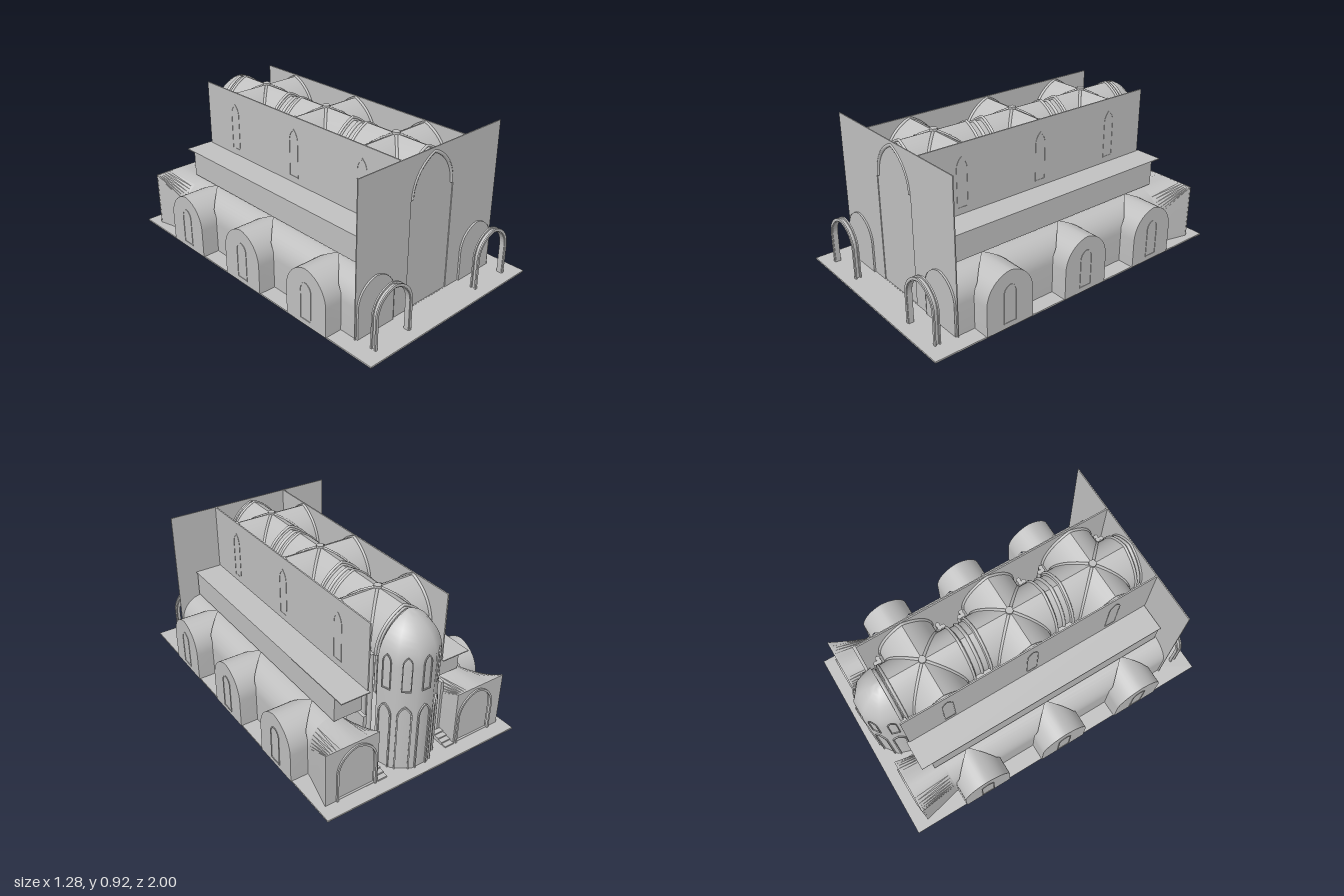
import * as THREE from 'three';
import { toCreasedNormals } from 'three/addons/utils/BufferGeometryUtils.js';

const stone = new THREE.MeshStandardMaterial({ color: 0xc0c0c0, side: THREE.DoubleSide });
stone.name = 'grey stone';
const FLOOR = 0.017;
const BAYS = [0.54, 0.01, -0.52];

function add(parent, name, geo, x = 0, y = 0, z = 0, ry = 0) {
  const m = new THREE.Mesh(geo, stone);
  m.name = name;
  m.position.set(x, y, z);
  m.rotation.y = ry;
  parent.add(m);
  return m;
}
function box(parent, name, x0, x1, y0, y1, z0, z1) {
  return add(parent, name, new THREE.BoxGeometry(x1 - x0, y1 - y0, z1 - z0), (x0 + x1) / 2, (y0 + y1) / 2, (z0 + z1) / 2);
}

// Two-centred pointed arch, left to right; with a base it also gets straight legs
function arch(hw, spring, apex, base = null, n = 10) {
  const h = apex - spring, o = Math.max(0, (h * h - hw * hw) / (2 * hw)), R = hw + o;
  const end = Math.acos(o / R), right = [];
  for (let i = 0; i <= n; i++) {
    const t = end * i / n;
    right.push(new THREE.Vector2(R * Math.cos(t) - o, spring + h * Math.sin(t) / Math.sin(end)));
  }
  const pts = right.map(p => new THREE.Vector2(-p.x, p.y)).concat(right.slice(0, n).reverse());
  if (base !== null) {
    pts.unshift(new THREE.Vector2(-hw, base));
    pts.push(new THREE.Vector2(hw, base));
  }
  return pts;
}

// Surface through a list of cross-sections with equal point counts
function loft(sections) {
  const n = sections[0].length, idx = [];
  for (let s = 0; s < sections.length - 1; s++)
    for (let i = 0; i < n - 1; i++) {
      const a = s * n + i, b = a + n;
      idx.push(a, b, a + 1, b, b + 1, a + 1);
    }
  const g = new THREE.BufferGeometry().setFromPoints(sections.flat());
  g.setIndex(idx);
  return toCreasedNormals(g, 0.5);
}
const at = (pts, z) => pts.map(p => new THREE.Vector3(p.x, p.y, z));
const barrel = (pts, z0, z1) => loft([at(pts, z1), at(pts, z0)]);
const cap = pts => new THREE.ShapeGeometry(new THREE.Shape(pts));
const plate = (pts, d = 0.006) => new THREE.ExtrudeGeometry(new THREE.Shape(pts), { depth: d, bevelEnabled: false });
// Arched frame: outer outline with a smaller arch cut out
function frame(outer, inner, d) {
  const s = new THREE.Shape(outer);
  s.holes.push(new THREE.Path(inner));
  return new THREE.ExtrudeGeometry(s, { depth: d, bevelEnabled: false });
}
function tube(pts, r, seg = 32) {
  return new THREE.TubeGeometry(new THREE.CatmullRomCurve3(pts), seg, r, 6);
}

function nave(root) {
  const p = arch(0.165, 0.67, 0.905);
  BAYS.forEach(c => {
    const bay = new THREE.Group();
    bay.name = 'naveBay';
    bay.position.z = c;
    // Four vault arms meeting along the diagonals
    for (let k = 0; k < 4; k++) {
      const len = k % 2 ? 0.238 : 0.218;
      const inner = p.map(q => new THREE.Vector3(q.x, q.y, Math.abs(q.x)));
      add(bay, 'vaultArm', loft([at(p, len), inner]), 0, 0, 0, k * Math.PI / 2);
      add(bay, 'wallRib', tube(at(p, len - 0.006), 0.008), 0, 0, 0, k * Math.PI / 2);
    }
    // Diagonal ribs and boss
    for (const s of [1, -1])
      add(bay, 'diagonalRib', tube(p.map(q => new THREE.Vector3(q.x, q.y, s * q.x)), 0.009));
    add(bay, 'boss', new THREE.CylinderGeometry(0.022, 0.022, 0.03, 8), 0, 0.903, 0);
    // Clustered piers
    for (const sx of [1, -1]) for (const sz of [1, -1]) {
      for (const [dx, dz] of [[0, 0], [0.022, 0], [0, -0.022]])
        add(bay, 'pierShaft', new THREE.CylinderGeometry(0.014, 0.014, 0.69, 8), sx * (0.19 + dx), 0.345, sz * (0.19 - dz));
    }
    root.add(bay);
  });
  // Narrow cross bands between bays and at both ends
  const band = arch(0.153, 0.67, 0.89);
  [[0.225, 0.325], [-0.305, -0.205], [0.755, 0.798], [-0.785, -0.735]].forEach(([a, b]) => {
    add(root, 'crossBand', barrel(band, a, b));
    [a, (a + b) / 2, b].forEach(z => add(root, 'bandRib', tube(at(band, z), 0.01)));
  });
}

function apse(root) {
  const g = new THREE.Group();
  g.name = 'apse';
  g.position.z = -0.77;
  // Five-sided half dome on upright walls
  const R = 0.178, prof = arch(R, 0.67, 0.91).slice(10).reverse();
  prof.unshift(new THREE.Vector2(R, FLOOR));
  prof[prof.length - 1].x = 0.001;
  add(g, 'apseShell', toCreasedNormals(new THREE.LatheGeometry(prof, 5, Math.PI / 2, Math.PI), 0.75));
  for (let i = 0; i < 5; i++) {
    const a = Math.PI / 2 + (i + 0.5) * Math.PI / 5, d = R * Math.cos(Math.PI / 10);
    const side = new THREE.Group();
    side.name = 'apseSide';
    side.rotation.y = a;
    add(side, 'lowerArch', frame(arch(0.04, 0.36, 0.43, FLOOR), arch(0.032, 0.36, 0.42, FLOOR), 0.008), 0, 0, d);
    add(side, 'upperWindow', frame(arch(0.026, 0.68, 0.73, 0.52), arch(0.021, 0.68, 0.722, 0.526), 0.006), 0, 0, d);
    g.add(side);
  }
  root.add(g);
}

// One side, built on +x and mirrored for the other
function buildSide() {
  const s = new THREE.Group();
  // Clerestory wall with lancets
  box(s, 'clerestoryWall', 0.238, 0.246, 0.51, 0.912, -0.785, 0.8);
  BAYS.forEach(c => {
    const lancet = frame(arch(0.036, 0.77, 0.84, 0.55), arch(0.031, 0.77, 0.83, 0.555), 0.012);
    add(s, 'clerestoryWindow', lancet, 0.236, 0, c, Math.PI / 2);
  });
  // Gallery and its flat roof
  box(s, 'gallery', 0.24, 0.412, 0.36, 0.51, -0.735, 0.78);
  box(s, 'galleryRoof', 0.24, 0.415, 0.508, 0.514, -0.8, 0.79);

  // Arcade between nave and aisle
  const wall = new THREE.Shape([[-0.8, FLOOR], [0.79, FLOOR], [0.79, 0.36], [-0.8, 0.36]].map(q => new THREE.Vector2(...q)));
  BAYS.forEach(c => wall.holes.push(new THREE.Path(
    arch(0.14, 0.19, 0.33, FLOOR + 0.002).map(q => new THREE.Vector2(q.x - c, q.y)))));
  add(s, 'arcade', new THREE.ExtrudeGeometry(wall, { depth: 0.02, bevelEnabled: false }), 0.25, 0, 0, Math.PI / 2);

  // Aisle vault
  const a = arch(0.13, 0.2, 0.345, FLOOR);
  add(s, 'aisleVault', barrel(a, -0.68, 0.813), 0.4);
  add(s, 'aisleFront', cap(a), 0.4, 0, 0.811);

  // Cross-vaulted side chapels
  const c = arch(0.15, 0.19, 0.357, FLOOR);
  const lancet = frame(arch(0.042, 0.225, 0.275, 0.045), arch(0.036, 0.225, 0.267, 0.051), 0.005);
  BAYS.forEach(z => {
    const start = c.map(q => new THREE.Vector3(q.x, q.y, q.y < 0.2 ? 0.125 : Math.min(0.125, Math.abs(q.x))));
    add(s, 'chapelVault', loft([at(c, 0.235), start]), 0.4, 0, z, Math.PI / 2);
    add(s, 'chapelEnd', cap(c), 0.635, 0, z, Math.PI / 2);
    add(s, 'chapelWindow', lancet, 0.633, 0, z, Math.PI / 2);
  });

  // Flared end block behind the aisle
  const flare = a.map((q, i) => new THREE.Vector3(
    0.0225 + q.x * 1.25, i === 0 || i === a.length - 1 ? FLOOR : 0.35, -0.91));
  add(s, 'endBlock', loft([at(a, -0.68), flare]), 0.4);
  const ends = arch(0.115, 0.19, 0.325, FLOOR + 0.002).map(q => new THREE.Vector2(q.x + 0.395, q.y));
  const back = new THREE.Shape([[0.26, FLOOR], [0.585, FLOOR], [0.585, 0.35], [0.26, 0.35]].map(q => new THREE.Vector2(...q)));
  back.holes.push(new THREE.Path(ends));
  add(s, 'endWall', new THREE.ExtrudeGeometry(back, { depth: 0.008, bevelEnabled: false }), 0, 0, -0.914);
  add(s, 'endDoor', cap(ends), 0, 0, -0.902);
  add(s, 'endDoorFrame', frame(arch(0.124, 0.19, 0.335, FLOOR), arch(0.113, 0.19, 0.322, FLOOR), 0.012), 0.395, 0, -0.923);

  // Free-standing moulded porch arch
  const o = arch(0.131, 0.2, 0.347, FLOOR), i = arch(0.112, 0.2, 0.326, FLOOR), m = arch(0.122, 0.2, 0.337, FLOOR);
  add(s, 'porchArch', frame(m, i, 0.03), 0.397, 0, 0.9);
  [0.897, 0.925].forEach(z => add(s, 'porchArchMoulding', frame(o, arch(0.116, 0.2, 0.331, FLOOR), 0.009), 0.397, 0, z));

  // Steps beside the apse
  for (let k = 0; k < 4; k++)
    box(s, 'step', 0.2, 0.26, FLOOR, FLOOR + 0.008 * (k + 1), -0.8 - 0.03 * (4 - k), -0.77 - 0.03 * (4 - k));
  return s;
}

export function createModel() {
  const root = new THREE.Group();
  root.name = 'church';
  box(root, 'ground', -0.628, 0.628, 0.008, FLOOR, -1, 1);

  // Front wall with a tall shallow recessed portal
  const wall = new THREE.Shape([[-0.54, FLOOR], [0.54, FLOOR], [0.54, 0.912], [-0.54, 0.912]].map(q => new THREE.Vector2(...q)));
  const portal = arch(0.163, 0.66, 0.89, FLOOR + 0.001);
  wall.holes.push(new THREE.Path(portal));
  add(root, 'frontWall', new THREE.ExtrudeGeometry(wall, { depth: 0.006, bevelEnabled: false }), 0, 0, 0.796);
  add(root, 'portalPanel', plate(portal, 0.003), 0, 0, 0.794);

  nave(root);
  apse(root);
  for (const sx of [1, -1]) {
    const side = buildSide();
    side.name = sx > 0 ? 'leftSide' : 'rightSide';
    side.scale.x = sx;
    root.add(side);
  }
  return root;
}
